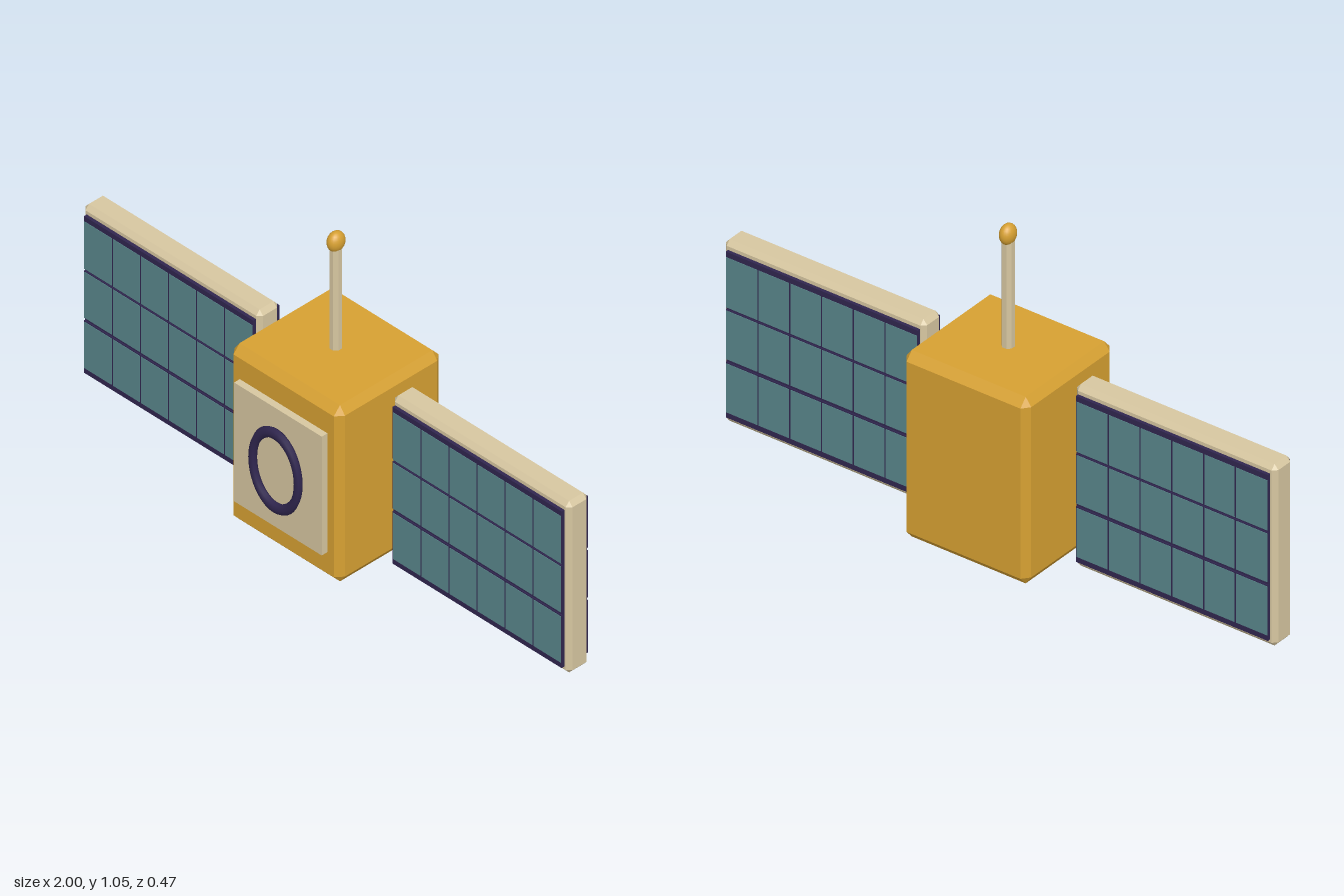
import * as THREE from 'three';
import { ConvexGeometry } from 'three/addons/geometries/ConvexGeometry.js';

const paint = (name, color) => {
  const m = new THREE.MeshStandardMaterial({ color });
  m.name = name;
  return m;
};

// Box between two corners with every edge bevelled by (cx, cy, cz)
function bevelBox([x0, y0, z0], [x1, y1, z1], [cx, cy, cz]) {
  const pts = [];
  for (const i of [0, 1]) for (const j of [0, 1]) for (const k of [0, 1]) {
    const x = i ? x1 : x0, y = j ? y1 : y0, z = k ? z1 : z0;
    const xi = i ? x1 - cx : x0 + cx;
    const yi = j ? y1 - cy : y0 + cy;
    const zi = k ? z1 - cz : z0 + cz;
    pts.push(new THREE.Vector3(x, yi, zi), new THREE.Vector3(xi, y, zi), new THREE.Vector3(xi, yi, z));
  }
  return new ConvexGeometry(pts);
}

function plainBox([x0, y0, z0], [x1, y1, z1]) {
  return new THREE.BoxGeometry(x1 - x0, y1 - y0, z1 - z0)
    .translate((x0 + x1) / 2, (y0 + y1) / 2, (z0 + z1) / 2);
}

export function createModel() {
  const gold = paint('gold foil', 0xd6a032);
  const beige = paint('beige metal', 0xd6c6a0);
  const teal = paint('teal cells', 0x59868b);
  const navy = paint('dark violet', 0x30264f);
  const model = new THREE.Group();
  model.name = 'satellite';

  const add = (parent, name, geometry, material) => {
    const mesh = new THREE.Mesh(geometry, material);
    mesh.name = name;
    parent.add(mesh);
    return mesh;
  };

  const midZ = -0.021;

  // Main body
  add(model, 'body', bevelBox([-0.226, 0, -0.232], [0.226, 0.638, 0.19], [0.02, 0.028, 0.025]), gold);

  // Front plate with an oval ring
  add(model, 'frontPlate', plainBox([-0.18, 0.105, 0.189], [0.18, 0.535, 0.213]), beige);
  const ring = add(model, 'frontRing', new THREE.TorusGeometry(0.0935, 0.0135, 8, 40), navy);
  ring.scale.set(1, 1.42, 0.9);
  ring.position.set(0, 0.319, 0.223);

  // Antenna mast and its tip
  const mastGeometry = new THREE.CylinderGeometry(0.02, 0.02, 0.38, 8).rotateY(Math.PI / 8).toNonIndexed();
  mastGeometry.computeVertexNormals();
  const mast = add(model, 'antennaMast', mastGeometry, beige);
  mast.position.set(0, 0.81, midZ + 0.001);
  const tip = add(model, 'antennaTip', new THREE.SphereGeometry(1, 20, 14), gold);
  tip.scale.set(0.024, 0.034, 0.031);
  tip.position.set(0, 1.02, midZ);

  // Solar wings, covered on both faces
  const rows = [[0.037, 0.227], [0.237, 0.407], [0.417, 0.604]];
  const cellRows = [[0.056, 0.223], [0.238, 0.404], [0.415, 0.586]];
  const colStart = 0.289, pitch = 0.115, gap = 0.003;
  for (const side of [-1, 1]) {
    const wing = new THREE.Group();
    wing.name = side > 0 ? 'leftWing' : 'rightWing';
    model.add(wing);
    const spanX = (a, b) => (side > 0 ? [a, b] : [-b, -a]);

    const [fx0, fx1] = spanX(0.271, 1);
    add(wing, 'wingFrame', bevelBox([fx0, 0.011, -0.063], [fx1, 0.632, 0.021], [0.014, 0.016, 0.014]), beige);

    const [bx0, bx1] = spanX(0.286, 0.981);
    add(wing, 'cellBacking', plainBox([bx0, 0.037, -0.07], [bx1, 0.604, 0.028]), navy);
    rows.forEach(([y0, y1]) => {
      add(wing, 'cellRow', plainBox([bx0, y0, -0.074], [bx1, y1, 0.032]), navy);
    });

    // Thin cell plates, front and back
    for (const [y0, y1] of cellRows) {
      for (let c = 0; c < 6; c++) {
        const a = colStart + c * pitch;
        const [x0, x1] = spanX(a + (c ? gap : 0), a + pitch - (c < 5 ? gap : 0));
        add(wing, 'frontCell', plainBox([x0, y0, 0.031], [x1, y1, 0.0335]), teal);
        add(wing, 'backCell', plainBox([x0, y0, -0.0755], [x1, y1, -0.073]), teal);
      }
    }
  }
  return model;
}
